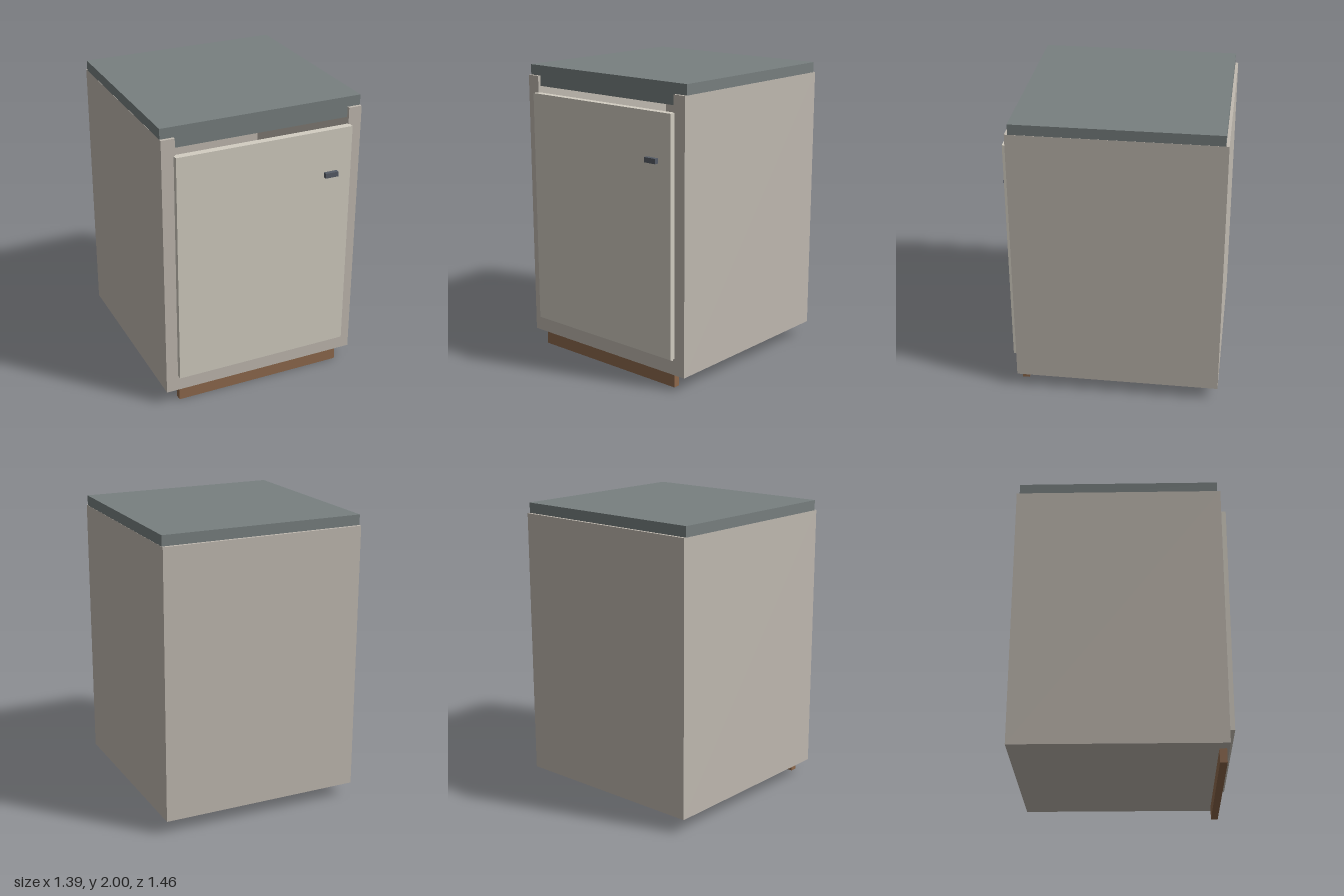
import * as THREE from 'three';

const paint = (color) => new THREE.MeshStandardMaterial({ color });

export function createModel() {
  const cabinet = new THREE.Group();
  cabinet.name = 'cabinet';

  const bodyPaint = paint(0xc1bab1);
  const doorPaint = paint(0xd3cec2);
  const topPaint = paint(0x788080);
  const plinthPaint = paint(0x8f6a4d);
  const handlePaint = paint(0x565c66);

  // Box given by its limits along each axis
  function board(name, material, [x0, x1], [y0, y1], [z0, z1]) {
    const mesh = new THREE.Mesh(new THREE.BoxGeometry(x1 - x0, y1 - y0, z1 - z0), material);
    mesh.position.set((x0 + x1) / 2, (y0 + y1) / 2, (z0 + z1) / 2);
    mesh.name = name;
    cabinet.add(mesh);
  }

  const outer = 0.697, inner = 0.605;
  const bottom = 0.095, floor = 0.19, rim = 1.93;
  const back = -0.73, backInner = -0.645, front = 0.665;

  // Hollow carcass, open at the front
  board('leftSide', bodyPaint, [inner, outer], [bottom, rim], [back, front]);
  board('rightSide', bodyPaint, [-outer, -inner], [bottom, rim], [back, front]);
  board('bottomPanel', bodyPaint, [-inner, inner], [bottom, floor], [back, front]);
  board('backPanel', bodyPaint, [-inner, inner], [floor, rim], [back, backInner]);

  // Worktop sunk between the sides, a hair narrower to avoid coplanar faces
  board('worktop', topPaint, [-outer + 0.001, outer - 0.001], [1.86, 2], [-0.71, 0.644]);

  // Door overlapping the opening, with its small handle
  board('door', doorPaint, [-0.615, 0.615], [0.21, 1.817], [0.653, 0.702]);
  board('handle', handlePaint, [0.418, 0.51], [1.492, 1.526], [0.702, 0.73]);

  // Plinth board under the front edge
  board('plinth', plinthPaint, [-0.6, 0.6], [0, bottom], [0.6, 0.648]);

  return cabinet;
}
